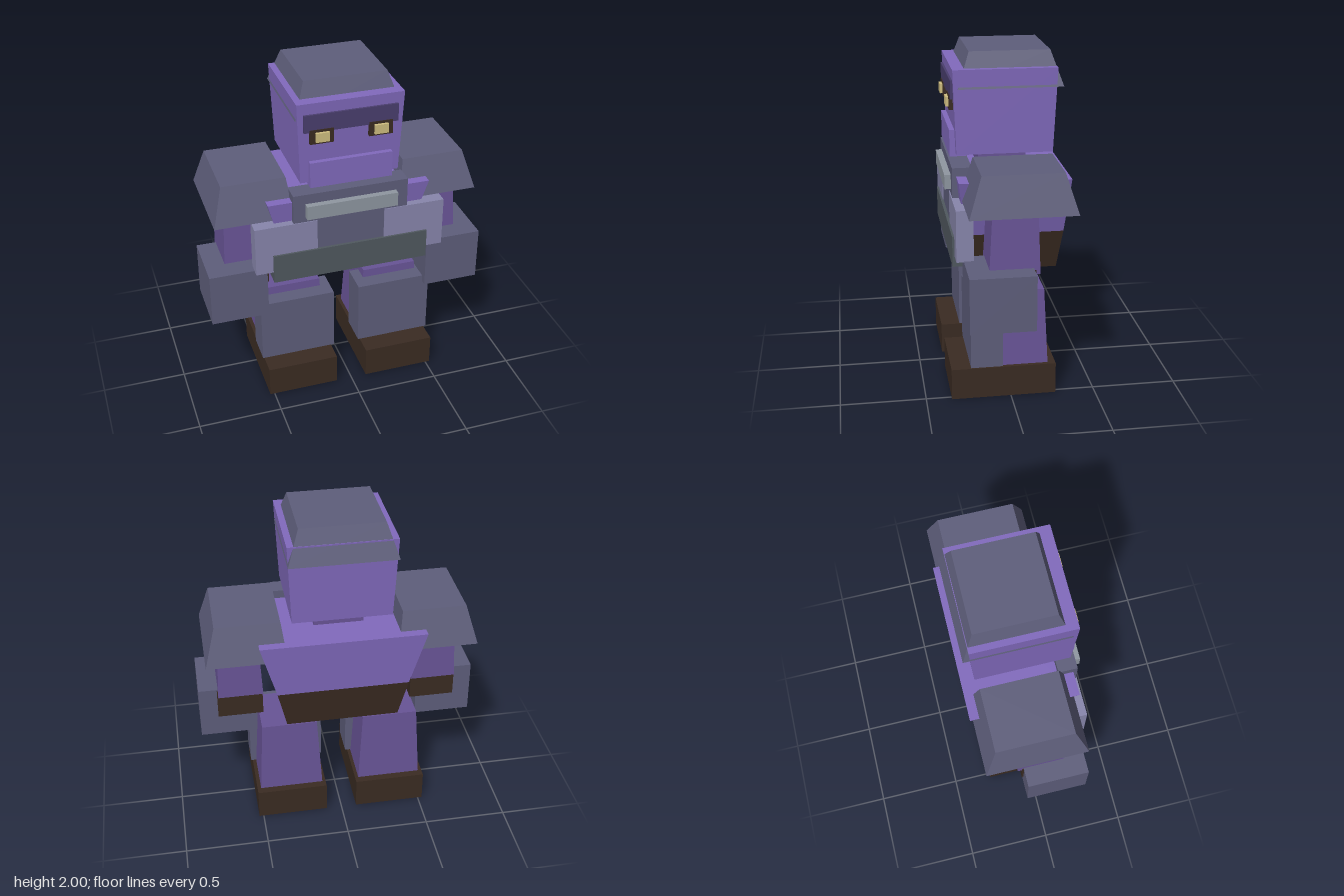
import * as THREE from 'three';

const material = (name, color) => {
  const m = new THREE.MeshStandardMaterial({ color });
  m.name = name;
  return m;
};

// Box spanning y0..y1 whose bottom and top rectangles are [x0, x1, z0, z1]
function taperedBox(y0, y1, bottom, top = bottom) {
  const g = new THREE.BoxGeometry(1, 1, 1);
  const p = g.attributes.position;
  for (let i = 0; i < p.count; i++) {
    const r = p.getY(i) > 0 ? top : bottom;
    p.setXYZ(
      i,
      p.getX(i) > 0 ? r[1] : r[0],
      p.getY(i) > 0 ? y1 : y0,
      p.getZ(i) > 0 ? r[3] : r[2]
    );
  }
  g.computeVertexNormals();
  return g;
}

const mirrorRect = ([x0, x1, z0, z1]) => [-x1, -x0, z0, z1];

export function createModel() {
  const model = new THREE.Group();
  model.name = 'armouredGolem';

  const purple = material('purple', 0x816abd);
  const darkPurple = material('dark purple', 0x685496);
  const visorPurple = material('visor purple', 0x4a3e6e);
  const steel = material('steel', 0x5e5e7b);
  const paleSteel = material('pale steel', 0x8886ac);
  const silver = material('silver', 0x8f97a1);
  const slate = material('slate', 0x50585f);
  const brown = material('brown', 0x3a2b22);
  const gold = material('gold', 0xd0be80);

  const add = (name, mat, y0, y1, bottom, top) => {
    const mesh = new THREE.Mesh(taperedBox(y0, y1, bottom, top), mat);
    mesh.name = name;
    model.add(mesh);
  };
  // Same part on both sides, given for the model's left (+x)
  const addPair = (name, mat, y0, y1, bottom, top = bottom) => {
    add('left' + name, mat, y0, y1, bottom, top);
    add('right' + name, mat, y0, y1, mirrorRect(bottom), mirrorRect(top));
  };

  // Head
  add('head', purple, 1.42, 1.91, [-0.29, 0.29, -0.275, 0.28], [-0.31, 0.31, -0.295, 0.3]);
  add('helmet', steel, 1.8, 2.0, [-0.31, 0.31, -0.33, 0.27], [-0.242, 0.242, -0.26, 0.2]);
  add('brow', visorPurple, 1.74, 1.845, [-0.273, 0.273, 0.26, 0.31]);
  add('jaw', purple, 1.4, 1.555, [-0.242, 0.242, 0.22, 0.315]);
  addPair('EyeSocket', brown, 1.67, 1.755, [0.103, 0.24, 0.27, 0.314]);
  addPair('Eye', gold, 1.685, 1.74, [0.13, 0.21, 0.29, 0.33]);
  add('neck', darkPurple, 1.28, 1.43, [-0.147, 0.147, -0.14, 0.14]);

  // Torso and hips
  add('torso', purple, 0.97, 1.31, [-0.39, 0.39, -0.325, 0.25], [-0.485, 0.485, -0.35, 0.29]);
  add('hips', brown, 0.73, 0.97, [-0.335, 0.335, -0.295, 0.2], [-0.39, 0.39, -0.325, 0.24]);

  // Chest armour
  add('chestPlate', steel, 0.9, 1.36, [-0.343, 0.343, 0.2, 0.313]);
  add('chestBar', silver, 1.215, 1.3, [-0.272, 0.272, 0.28, 0.35]);
  addPair('RibPlate', paleSteel, 0.88, 1.183, [0.203, 0.573, 0.22, 0.318]);
  add('belt', slate, 0.815, 0.995, [-0.47, 0.47, 0.24, 0.33]);

  // Arms
  addPair('ShoulderPad', steel, 1.2, 1.425, [0.322, 0.79, -0.33, 0.27], [0.352, 0.727, -0.26, 0.195]);
  addPair('Arm', darkPurple, 0.85, 1.3, [0.455, 0.725, -0.13, 0.155], [0.475, 0.705, -0.115, 0.13]);
  addPair('Cuff', brown, 0.695, 0.875, [0.457, 0.73, -0.105, 0.14]);
  addPair('Gauntlet', steel, 0.56, 0.885, [0.497, 0.84, -0.093, 0.277]);

  // Legs
  addPair('Leg', darkPurple, 0.18, 0.65, [0.115, 0.505, -0.222, 0.165], [0.143, 0.478, -0.2, 0.14]);
  addPair('LegPlate', steel, 0.2, 0.6, [0.08, 0.537, 0.05, 0.237]);
  addPair('Boot', brown, 0, 0.19, [0.095, 0.527, -0.267, 0.35]);

  return model;
}
